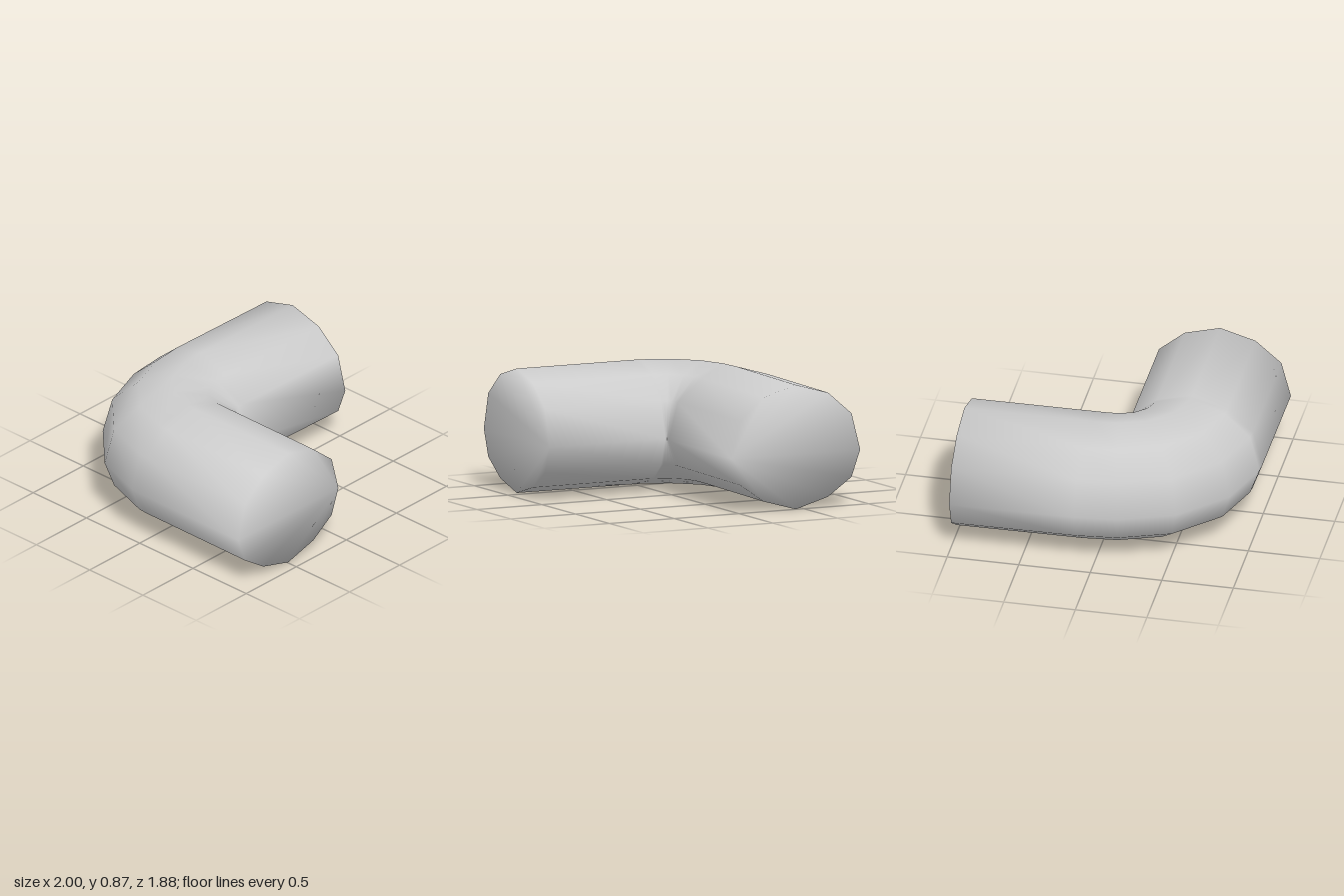
import * as THREE from 'three';

// Heights of the twelve points of a section, from the inner side over the top to the outer side and back
const HEIGHTS = [0.39, 0.645, 0.8, 0.87, 0.8, 0.645, 0.39, 0.205, 0.08, 0.01, 0.08, 0.205];

// Sections along the bend: inner x, inner z, outer x, outer z, height shift
const SECTIONS = [
  [-0.01, 0.935, -1.0, 0.925, 0],
  [-0.005, 0.045, -0.995, 0.0, 0],
  [0.0, 0.035, -0.99, -0.08, 0],
  [0.005, 0.037, -0.86, -0.46, 0],
  [0.012, 0.039, -0.55, -0.77, 0],
  [0.022, 0.042, -0.17, -0.91, 0],
  [0.05, 0.045, 0.13, -0.94, 0],
  [0.995, 0.055, 1.0, -0.935, -0.01],
];

function elbowGeometry() {
  const n = HEIGHTS.length;
  const positions = [];
  const index = [];
  for (const [ix, iz, ox, oz, dy] of SECTIONS) {
    HEIGHTS.forEach((y, k) => {
      const u = (1 - Math.cos((k / n) * Math.PI * 2)) / 2;
      positions.push(ix + (ox - ix) * u, y + dy, iz + (oz - iz) * u);
    });
  }
  // Wall between neighbouring sections
  for (let i = 0; i < SECTIONS.length - 1; i++) {
    for (let k = 0; k < n; k++) {
      const a = i * n + k;
      const b = i * n + ((k + 1) % n);
      index.push(a, a + n, b, b, a + n, b + n);
    }
  }
  // Closed ends, sharing the wall's points so the shading stays soft
  const last = (SECTIONS.length - 1) * n;
  for (let k = 1; k < n - 1; k++) {
    index.push(0, k, k + 1);
    index.push(last, last + k + 1, last + k);
  }
  const geometry = new THREE.BufferGeometry();
  geometry.setAttribute('position', new THREE.Float32BufferAttribute(positions, 3));
  geometry.setIndex(index);
  geometry.computeVertexNormals();
  return geometry;
}

export function createModel() {
  const group = new THREE.Group();
  group.name = 'pipeElbow';
  const pipe = new THREE.Mesh(elbowGeometry(), new THREE.MeshStandardMaterial({ color: 0xcccccc }));
  pipe.name = 'bentPipe';
  group.add(pipe);
  return group;
}
